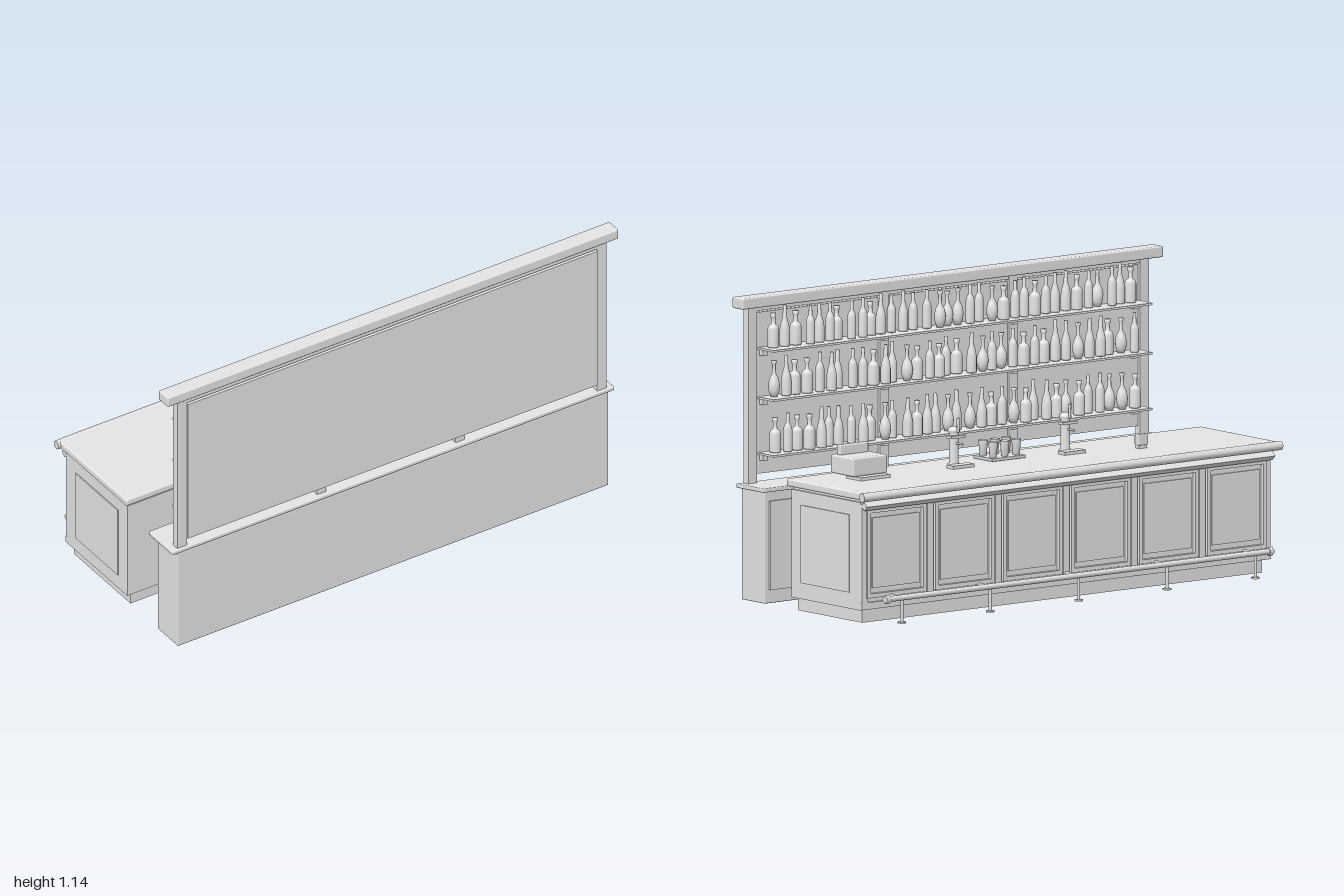
import * as THREE from 'three';
import { RoundedBoxGeometry } from 'three/addons/geometries/RoundedBoxGeometry.js';

export function createModel() {
  const root = new THREE.Group();
  root.name = 'barCounterAndShelves';
  const grey = new THREE.MeshStandardMaterial({ color: 0xe5e5e5 });
  grey.name = 'plain light grey';

  const add = (name, geometry, x = 0, y = 0, z = 0, parent = root) => {
    const m = new THREE.Mesh(geometry, grey);
    m.name = name;
    m.position.set(x, y, z);
    parent.add(m);
    return m;
  };
  // Box from its limits on each axis; r rounds the edges
  const box = (name, x0, x1, y0, y1, z0, z1, r = 0, parent = root) => {
    const w = x1 - x0, h = y1 - y0, d = z1 - z0;
    const g = r ? new RoundedBoxGeometry(w, h, d, 2, r) : new THREE.BoxGeometry(w, h, d);
    return add(name, g, (x0 + x1) / 2, (y0 + y1) / 2, (z0 + z1) / 2, parent);
  };
  const rod = (name, r, length, x, y, z, axis = 'y', sides = 16, parent = root) => {
    const g = new THREE.CylinderGeometry(r, r, length, sides);
    if (axis === 'x') g.rotateZ(Math.PI / 2);
    if (axis === 'z') g.rotateX(Math.PI / 2);
    return add(name, g, x, y, z, parent);
  };
  // Rectangular moulding ring facing z
  const frame = (name, w, h, border, depth, x, y, z) => {
    const rect = (P, a, b) => new P([
      new THREE.Vector2(-a, -b), new THREE.Vector2(a, -b),
      new THREE.Vector2(a, b), new THREE.Vector2(-a, b)]);
    const s = rect(THREE.Shape, w / 2, h / 2);
    s.holes.push(rect(THREE.Path, w / 2 - border, h / 2 - border));
    return add(name, new THREE.ExtrudeGeometry(s, { depth, bevelEnabled: false }), x, y, z);
  };
  const lathe = (pts, sides = 14) =>
    new THREE.LatheGeometry(pts.map(([r, y]) => new THREE.Vector2(r, y)), sides);

  // Back cabinet with six doors
  box('cabinetBody', -0.955, 0.955, 0, 0.42, 0.275, 0.411, 0.004);
  box('cabinetTop', -0.98, 0.98, 0.422, 0.438, 0.25, 0.414, 0.004);
  for (let i = 0; i < 6; i++) {
    const x = (i - 2.5) * 0.314;
    box('cabinetDoor', x - 0.148, x + 0.148, 0.05, 0.385, 0.268, 0.276);
    box('doorHandle', x - 0.007, x + 0.007, 0.27, 0.315, 0.258, 0.269);
  }

  // Shelf wall: posts, uprights, proud back panel and crown
  for (const s of [-1, 1]) {
    box('wallPost', s * 0.931 - 0.021, s * 0.931 + 0.021, 0.436, 1.1, 0.375, 0.403);
    box('wallUpright', s * 0.307 - 0.02, s * 0.307 + 0.02, 0.436, 1.1, 0.375, 0.395);
  }
  box('backPanel', -0.908, 0.908, 0.47, 1.077, 0.385, 0.409);
  box('topRail', -0.91, 0.91, 1.084, 1.102, 0.378, 0.405);
  box('crown', -1, 1, 1.1, 1.142, 0.348, 0.412, 0.006);

  // Bottle shapes: slim, sloping, flask and squat
  const bottleShapes = [
    [[0, 0], [0.016, 0], [0.017, 0.004], [0.017, 0.085], [0.013, 0.1], [0.007, 0.112], [0.006, 0.148], [0, 0.148]],
    [[0, 0], [0.018, 0], [0.019, 0.004], [0.019, 0.06], [0.015, 0.085], [0.008, 0.11], [0.0065, 0.153], [0, 0.153]],
    [[0, 0], [0.013, 0], [0.02, 0.022], [0.022, 0.045], [0.017, 0.07], [0.007, 0.09], [0.0065, 0.125], [0.01, 0.128], [0.01, 0.138], [0, 0.138]],
    [[0, 0], [0.021, 0], [0.022, 0.004], [0.022, 0.07], [0.018, 0.083], [0.008, 0.09], [0.0075, 0.115], [0.011, 0.117], [0.011, 0.132], [0, 0.132]],
  ].map(p => lathe(p));
  let seed = 7;
  const rnd = () => (seed = (seed * 16807) % 2147483647) / 2147483647;

  // Three shelves with brackets and rows of bottles
  [0.55, 0.76, 0.945].forEach((y, row) => {
    const shelf = new THREE.Group();
    shelf.name = 'shelfRow' + (row + 1);
    root.add(shelf);
    box('shelf', -0.9, 0.9, y - 0.008, y, 0.29, 0.39, 0, shelf);
    for (const x of [-0.88, -0.307, 0.307, 0.88])
      box('shelfBracket', x - 0.012, x + 0.012, y - 0.03, y - 0.008, 0.362, 0.386, 0, shelf);
    for (let i = 0; i < 34; i++) {
      const x = -0.85 + i * 0.0515 + (rnd() - 0.5) * 0.012;
      const b = add('bottle', bottleShapes[Math.floor(rnd() * 4)], x, y, 0.331 + rnd() * 0.028, shelf);
      b.scale.y = 0.94 + rnd() * 0.07;
    }
  });

  // Counter body, plinth and top
  box('counterPlinth', -0.95, 0.95, 0, 0.05, -0.3, 0.082);
  box('counterBody', -0.972, 0.972, 0.05, 0.456, -0.316, 0.094);
  box('counterTop', -0.985, 0.985, 0.466, 0.496, -0.367, 0.108, 0.008);
  box('topSupport', -0.965, 0.965, 0.455, 0.468, -0.31, 0.09);
  rod('armRail', 0.017, 1.99, 0, 0.48, -0.353, 'x', 20);
  const moulding = box('underMoulding', -0.97, 0.97, -0.012, 0.012, -0.012, 0.012);
  moulding.position.set(0, 0.443, -0.337);
  moulding.rotation.x = Math.PI / 4;
  for (const s of [-1, 1])
    box('endPanel', s * 0.973 - 0.003, s * 0.973 + 0.003, 0.11, 0.404, -0.253, 0.034).scale.y = 0.293 / 0.294;

  // Panelled bays with pilasters between them
  for (let i = 0; i < 6; i++) {
    const x = (i - 2.5) * 0.323;
    frame('bayFrame', 0.282, 0.335, 0.016, 0.016, x, 0.262, -0.331);
    box('bayPanel', x - 0.112, x + 0.112, 0.13, 0.394, -0.322, -0.315);
  }
  for (let i = 0; i < 7; i++) {
    const x = THREE.MathUtils.clamp((i - 3) * 0.323, -0.957, 0.957);
    box('pilaster', x - 0.014, x + 0.014, 0.055, 0.45, -0.325, -0.315);
  }
  box('lowerTrim', -0.972, 0.972, 0.052, 0.078, -0.325, -0.315);

  // Foot rail on five stands
  rod('footRail', 0.011, 1.83, 0, 0.096, -0.398, 'x', 12);
  for (const s of [-1, 1]) rod('railKnob', 0.017, 0.02, s * 0.91, 0.096, -0.398, 'x', 4);
  for (let i = -2; i <= 2; i++) {
    const x = i * 0.42;
    rod('railPost', 0.006, 0.096, x, 0.048, -0.398, 'y', 10);
    rod('railArm', 0.006, 0.09, x, 0.096, -0.353, 'z', 10);
    rod('railFoot', 0.016, 0.006, x, 0.003, -0.398, 'y', 14);
  }

  // Beer taps with drip trays
  const column = lathe([[0, 0], [0.026, 0], [0.026, 0.008], [0.018, 0.014], [0.018, 0.125], [0.023, 0.13],
    [0.023, 0.14], [0.013, 0.149], [0, 0.15]], 20);
  for (const x of [-0.21, 0.32]) {
    const tap = new THREE.Group();
    tap.name = 'beerTap';
    tap.position.set(x, 0.496, 0);
    root.add(tap);
    box('dripTray', -0.05, 0.05, 0, 0.012, -0.117, -0.076, 0, tap);
    add('tapColumn', column, 0, 0, -0.056, tap);
    box('tapCollar', -0.034, 0.034, 0.108, 0.118, -0.085, -0.055, 0, tap);
    rod('tapSpout', 0.004, 0.06, 0, 0.088, -0.08, 'z', 10, tap);
    rod('handleStem', 0.004, 0.035, 0, 0.135, -0.068, 'z', 8, tap);
    add('tapHandle', new THREE.CylinderGeometry(0.006, 0.005, 0.055, 12), 0, 0.157, -0.082, tap);
  }

  // Tray of six glasses
  box('glassTray', -0.012, 0.148, 0.496, 0.508, -0.07, 0.045, 0.003);
  const glass = lathe([[0, 0], [0.013, 0], [0.018, 0.058], [0.0165, 0.058], [0.012, 0.005], [0, 0.005]], 16);
  for (let i = 0; i < 3; i++)
    for (const z of [-0.043, 0.016]) add('glass', glass, 0.013 + i * 0.055, 0.508, z);

  // Cash register
  box('registerDrawer', 0.67, 0.81, 0.496, 0.508, -0.117, -0.03);
  box('registerBody', 0.658, 0.822, 0.507, 0.578, -0.086, 0.052, 0.008);
  box('registerDisplay', 0.672, 0.808, 0.574, 0.615, 0.008, 0.032, 0.006);

  // Small holder
  box('napkinHolder', -0.515, -0.469, 0.508, 0.55, -0.169, -0.142, 0.004);
  box('holderBase', -0.511, -0.473, 0.495, 0.51, -0.166, -0.145);

  return root;
}
